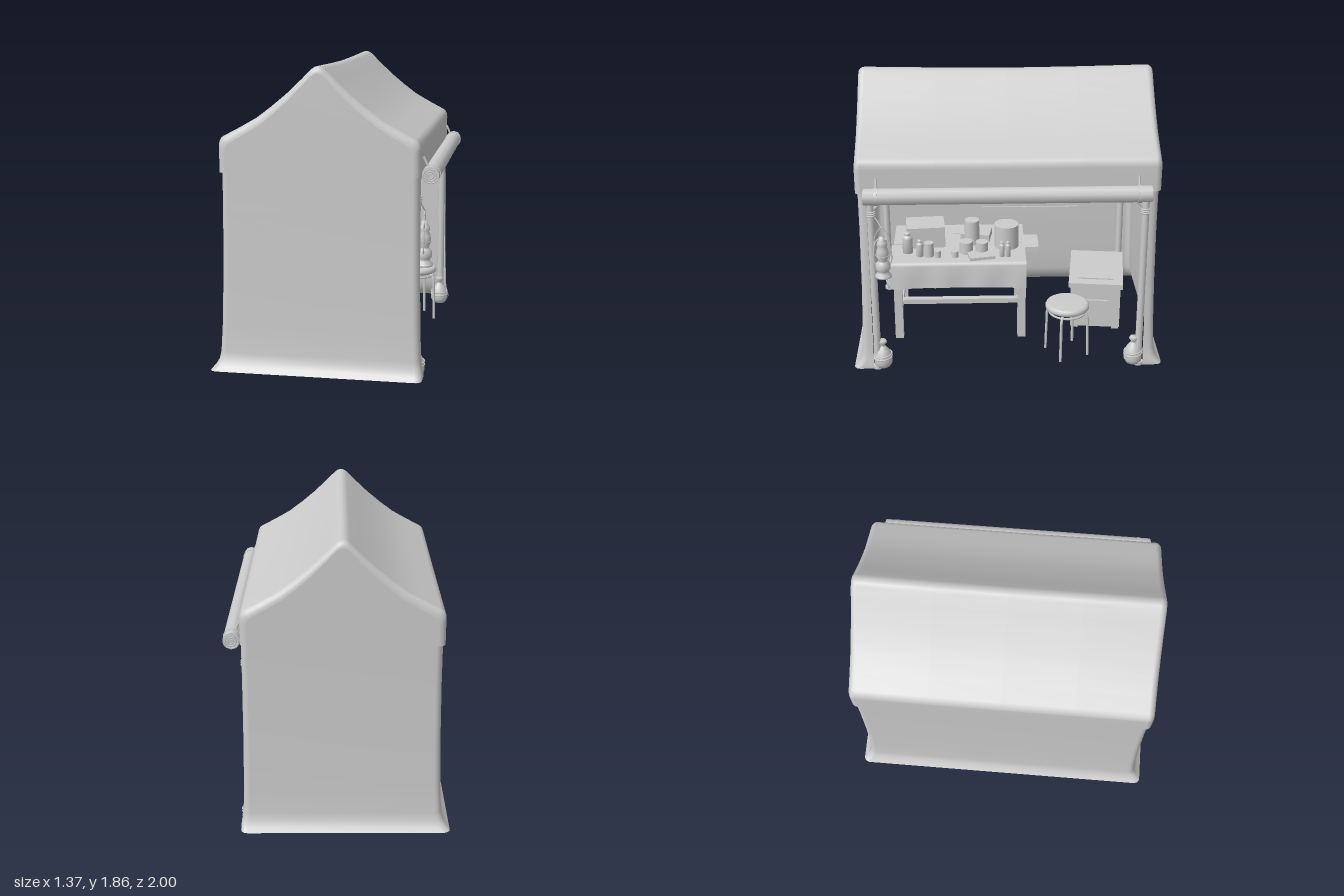
import * as THREE from 'three';

const grey = new THREE.MeshStandardMaterial({ color: 0xcccccc });
const cloth = new THREE.MeshStandardMaterial({ color: 0xcccccc, side: THREE.DoubleSide });
const V = (x, y, z) => new THREE.Vector3(x, y, z);

function add(parent, name, geo, pos = [0, 0, 0], mat = grey) {
  const m = new THREE.Mesh(geo, mat);
  m.name = name;
  m.position.set(...pos);
  parent.add(m);
  return m;
}
const box = (p, name, x, y, z, w, h, d) => add(p, name, new THREE.BoxGeometry(w, h, d), [x, y, z]);
const cyl = (p, name, x, y0, z, r, h, seg = 16, rTop = r) =>
  add(p, name, new THREE.CylinderGeometry(rTop, r, h, seg), [x, y0 + h / 2, z]);
const lathe = (p, name, pts, pos, seg = 18) =>
  add(p, name, new THREE.LatheGeometry(pts.map(a => new THREE.Vector2(...a)), seg), pos, cloth);
const tube = (p, name, pts, r, n = 24) =>
  add(p, name, new THREE.TubeGeometry(new THREE.CatmullRomCurve3(pts), n, r, 6), [0, 0, 0]);

// Straight round pole between two points
function pole(p, name, a, b, r, seg = 10) {
  const d = b.clone().sub(a);
  const m = add(p, name, new THREE.CylinderGeometry(r, r, d.length(), seg));
  m.position.copy(a).addScaledVector(d, 0.5);
  m.quaternion.setFromUnitVectors(V(0, 1, 0), d.normalize());
  return m;
}

// Skin through rows of points of equal length
function loft(rows) {
  const n = rows[0].length, idx = [];
  for (let i = 0; i < rows.length - 1; i++)
    for (let j = 0; j < n - 1; j++) {
      const a = i * n + j, b = a + n;
      idx.push(a, b, a + 1, b, b + 1, a + 1);
    }
  const g = new THREE.BufferGeometry().setFromPoints(rows.flat());
  g.setIndex(idx);
  g.computeVertexNormals();
  return g;
}

function buildRoof(g) {
  const half = [[0.6, 1.23], [0.6, 1.39], [0.597, 1.415], [0.585, 1.437], [0.565, 1.45], [0.47, 1.5], [0.37, 1.557],
    [0.28, 1.625], [0.19, 1.7], [0.1, 1.785], [0.04, 1.845], [0.02, 1.858]];
  const profile = [...half, [0, 1.863], ...half.slice().reverse().map(([x, y]) => [-x, y])];
  const section = (inset, sag) => profile.map(([x, y]) => [
    -0.018 + x * (1 - inset / 0.6), y > 1.25 ? y - inset - sag * (y - 1.23) / 0.63 : y]);
  const R = 0.04, stations = [];
  for (let i = 0; i <= 5; i++) {
    const a = i / 5 * Math.PI / 2;
    stations.push([0.94 - R * (1 - Math.cos(a)), R * (1 - Math.sin(a)), 0]);
  }
  stations.push([0.45, 0, 0.009], [0, 0, 0.014]);
  const all = [...stations, ...stations.slice(0, -1).reverse().map(([z, i, s]) => [-z, i, s])];
  add(g, 'roofCanvas', loft(all.map(([z, i, s]) => section(i, s).map(([x, y]) => V(x, y, z)))), [0, 0, 0], cloth);
  const gable = new THREE.ShapeGeometry(new THREE.Shape(section(R, 0).map(a => new THREE.Vector2(...a))));
  for (const s of [1, -1]) add(g, 'roofGable', gable, [0, 0, s * 0.94], cloth);
}

function buildWalls(g) {
  // Height and outward flare; the right side stays open
  const flare = [[1.25, 0], [1, 0], [0.6, 0.005], [0.3, 0.013], [0.13, 0.022], [0.08, 0.032], [0.045, 0.052], [0.02, 0.075]];
  const rows = flare.map(([y, o]) => {
    const x0 = -0.605 - o, x1 = 0.578 + Math.min(o * 0.7, 0.03), z = 0.925 + o, r = 0.04, pts = [];
    const arc = (cx, cz, a0) => {
      for (let i = 0; i <= 5; i++) {
        const a = a0 + i / 5 * Math.PI / 2;
        pts.push(V(cx + r * Math.cos(a), y, cz + r * Math.sin(a)));
      }
    };
    pts.push(V(x1, y, 0.872));
    arc(x1 - r, z - r, 0);
    arc(x0 + r, z - r, Math.PI / 2);
    arc(x0 + r, -z + r, Math.PI);
    arc(x1 - r, -z + r, Math.PI * 1.5);
    pts.push(V(x1, y, -0.872));
    return pts;
  });
  add(g, 'wallCanvas', loft(rows), [0, 0, 0], cloth);
}

function buildFrame(g) {
  for (const z of [0.85, -0.85]) {
    for (const x of [0.555, -0.57]) {
      cyl(g, 'post', x, 0, z, 0.023, 1.24, 12);
      cyl(g, 'postFoot', x, 0, z, 0.034, 0.02, 12);
      for (let i = 0; i < 3; i++)
        add(g, 'postLashing', new THREE.TorusGeometry(0.026, 0.006, 6, 14).rotateX(Math.PI / 2), [x, 1.08 + i * 0.013, z]);
      pole(g, 'cornerBrace', V(x, 1.1, z), V(x, 1.22, z * 0.87), 0.011, 8);
      pole(g, 'rafter', V(-0.018, 1.62, z), V(x, 1.23, z), 0.02);
      // Sandbag tied to the foot of the post
      const bag = lathe(g, 'sandbag', [[0, 0.01], [0.045, 0.012], [0.06, 0.04], [0.058, 0.08], [0.042, 0.125],
        [0.018, 0.155], [0.015, 0.165], [0.03, 0.185], [0.022, 0.2], [0, 0.198]], [x * 0.99, 0, z * 0.96]);
      for (const y of [0.075, 0.095])
        add(bag, 'bagRope', new THREE.TorusGeometry(0.058, 0.005, 6, 18).rotateX(Math.PI / 2 + 0.12), [0, y, 0]);
    }
    pole(g, 'crossBeam', V(-0.57, 1.21, z), V(0.555, 1.21, z), 0.02);
    pole(g, 'kingPost', V(-0.018, 1.2, z), V(-0.018, 1.8, z), 0.02);
    add(g, 'kingPostLashing', new THREE.TorusGeometry(0.024, 0.01, 6, 14).rotateY(Math.PI / 2), [-0.018, 1.21, z]);
  }
  for (const [x, y] of [[0.555, 1.215], [-0.57, 1.215], [-0.018, 1.8]])
    pole(g, 'lengthBeam', V(x, y, -0.88), V(x, y, 0.88), 0.022);
}

function buildRolledFlap(g) {
  const roll = new THREE.Group();
  roll.name = 'rolledFlap';
  roll.position.set(0.635, 1.237, 0.005);
  g.add(roll);
  add(roll, 'flapRoll', new THREE.CylinderGeometry(0.052, 0.052, 1.75, 10).rotateX(Math.PI / 2));
  for (const s of [1, -1]) {
    const spiral = [];
    for (let i = 0; i <= 36; i++) {
      const a = i / 36 * Math.PI * 6, r = 0.006 + 0.042 * i / 36;
      spiral.push(V(r * Math.cos(a), r * Math.sin(a), s * 0.876));
    }
    tube(roll, 'rollSpiral', spiral, 0.004, 90);
    add(roll, 'rollStrap', new THREE.CylinderGeometry(0.055, 0.055, 0.022, 14).rotateX(Math.PI / 2), [0, 0, s * 0.8]);
    pole(roll, 'strapTie', V(-0.02, 0.04, s * 0.8), V(-0.047, 0.1, s * 0.8), 0.008, 6);
  }
}

function buildLantern(g) {
  const l = new THREE.Group();
  l.name = 'lantern';
  l.position.set(0.595, 0.68, 0.785);
  g.add(l);
  lathe(l, 'lanternBody', [[0, 0], [0.052, 0], [0.052, 0.01], [0.036, 0.03], [0.036, 0.045], [0.046, 0.055], [0.046, 0.09],
    [0.03, 0.105], [0.028, 0.115], [0.04, 0.15], [0.036, 0.185], [0.026, 0.21], [0.034, 0.215], [0.03, 0.24],
    [0.02, 0.25], [0.018, 0.27], [0, 0.275]], [0, 0, 0]);
  for (const s of [1, -1])
    tube(l, 'lanternSideTube', [V(0, 0.08, s * 0.042), V(0, 0.11, s * 0.054), V(0, 0.2, s * 0.05), V(0, 0.25, s * 0.03), V(0, 0.26, 0)], 0.005);
  tube(l, 'lanternHandle', [V(0, 0.21, -0.05), V(0, 0.28, -0.04), V(0, 0.335, 0), V(0, 0.28, 0.04), V(0, 0.21, 0.05)], 0.003);
  add(l, 'lanternGuard', new THREE.TorusGeometry(0.042, 0.003, 5, 18).rotateX(Math.PI / 2), [0, 0.15, 0]);
  tube(l, 'lanternRope', [V(0, 0.335, 0), V(-0.02, 0.38, 0.03), V(-0.035, 0.41, 0.065)], 0.004, 10);
}

function buildTable(g) {
  const t = new THREE.Group();
  t.name = 'table';
  g.add(t);
  for (let i = 0; i < 4; i++) box(t, 'tablePlank', -0.34 + i * 0.16, 0.565, 0.32, 0.155, 0.025, 0.9);
  for (const z of [0.73, -0.1]) {
    for (const x of [0.185, -0.38]) box(t, 'tableLeg', x, 0.285, z, 0.05, 0.54, 0.055);
    for (const y of [0.13, 0.52]) box(t, 'endRail', -0.1, y, z, 0.56, 0.045, 0.025);
  }
  for (const y of [0.28, 0.52]) box(t, 'backRail', -0.38, y, 0.315, 0.025, 0.06, 0.83);
  box(t, 'middleRail', -0.1, 0.14, 0.315, 0.045, 0.035, 0.83);
  box(t, 'sideBoard', -0.12, 0.565, -0.17, 0.2, 0.035, 0.11);
  // Cloth over the top, hanging down along the open side with a wavy hem
  const rows = [];
  for (let i = 0; i <= 24; i++) {
    const z = 0.78 - i / 24 * 0.91, w = Math.sin(i * 0.9) * 0.004, hem = 0.4 + 0.008 * Math.sin(i / 24 * Math.PI) + w * 0.6;
    rows.push([V(-0.08, 0.583, z), V(0.2, 0.583, z), V(0.218, 0.578, z), V(0.225, 0.56, z), V(0.23 + w, 0.48, z), V(0.234 + w * 2, hem, z)]);
  }
  add(t, 'tablecloth', loft(rows), [0, 0, 0], cloth);

  // Things on the table
  const y = 0.58;
  const tray = box(t, 'woodenBox', -0.12, y + 0.075, 0.55, 0.2, 0.15, 0.26);
  tray.rotation.y = 0.08;
  const bottle = (x, z, r, h) => lathe(t, 'bottle', [[0, 0], [r, 0], [r, h * 0.72], [r * 0.85, h * 0.8],
    [r * 0.5, h * 0.84], [r * 0.5, h * 0.9], [r * 0.62, h * 0.9], [r * 0.62, h], [0, h]], [x, y, z], 14);
  for (const [x, z, r, h] of [[0.04, 0.665, 0.034, 0.15], [0.1, 0.58, 0.024, 0.12], [0.12, 0.03, 0.018, 0.11], [0.12, -0.01, 0.018, 0.11]])
    bottle(x, z, r, h);
  for (const [x, z, r, h] of [[0.1, 0.52, 0.033, 0.1], [0.12, 0.46, 0.022, 0.05], [0.05, 0.27, 0.045, 0.085],
    [0.06, 0.165, 0.042, 0.085], [0.12, 0.345, 0.022, 0.045], [-0.1, 0.23, 0.05, 0.175], [-0.05, -0.005, 0.083, 0.165]])
    cyl(t, 'can', x, y, z, r, h, 18);
  box(t, 'papers', 0.12, y + 0.012, 0.17, 0.12, 0.022, 0.17).rotation.y = 0.2;
  box(t, 'book', -0.2, y + 0.025, 0.2, 0.15, 0.05, 0.2).rotation.y = -0.15;
}

function buildStool(g) {
  const s = new THREE.Group();
  s.name = 'stool';
  s.position.set(0.42, 0, -0.39);
  g.add(s);
  lathe(s, 'stoolSeat', [[0, 0.345], [0.13, 0.345], [0.142, 0.353], [0.144, 0.37], [0.136, 0.384], [0.12, 0.389], [0, 0.39]], [0, 0, 0], 28);
  for (let i = 0; i < 4; i++) {
    const a = 0.35 + i * Math.PI / 2, c = Math.cos(a), n = Math.sin(a);
    tube(s, 'stoolLeg', [V(c * 0.145, 0.02, n * 0.145), V(c * 0.14, 0.2, n * 0.14), V(c * 0.132, 0.315, n * 0.132),
      V(c * 0.1, 0.338, n * 0.1), V(0, 0.338, 0)], 0.009);
  }
  add(s, 'stoolRing', new THREE.TorusGeometry(0.12, 0.007, 6, 28).rotateX(Math.PI / 2), [0, 0.325, 0]);
}

function buildChest(g) {
  const c = new THREE.Group();
  c.name = 'chest';
  c.position.set(-0.14, 0, -0.64);
  c.rotation.y = -0.12;
  g.add(c);
  box(c, 'chestBody', 0, 0.18, 0, 0.5, 0.3, 0.34);
  box(c, 'chestLid', 0, 0.345, 0, 0.53, 0.035, 0.37);
  box(c, 'lidPanel', 0, 0.365, 0, 0.38, 0.012, 0.24);
  box(c, 'chestHandle', 0.255, 0.22, 0, 0.02, 0.035, 0.17);
  for (const x of [0.22, -0.22]) for (const z of [0.14, -0.14]) box(c, 'chestFoot', x, 0.025, z, 0.05, 0.02, 0.05);
}

function buildBoard(g) {
  const b = new THREE.Group();
  b.name = 'noticeBoard';
  b.position.set(-0.53, 0.86, -0.19);
  g.add(b);
  box(b, 'boardPanel', 0, 0, 0, 0.016, 0.4, 0.71);
  for (const s of [1, -1]) {
    box(b, 'boardFrame', 0.004, s * 0.2, 0, 0.028, 0.022, 0.74);
    box(b, 'boardFrame', 0.004, 0, s * 0.358, 0.028, 0.42, 0.022);
    pole(b, 'boardRope', V(0, 0.22, s * 0.28), V(-0.03, 0.34, s * 0.17), 0.006, 6);
    add(b, 'ropeKnot', new THREE.SphereGeometry(0.013, 10, 8), [0, 0.225, s * 0.28]);
  }
  for (const [y, z, h, d] of [[-0.05, 0.2, 0.16, 0.12], [0.08, -0.18, 0.1, 0.13], [0.02, -0.28, 0.08, 0.08]])
    box(b, 'pinnedNote', 0.01, y, z, 0.004, h, d);
}

export function createModel() {
  const tent = new THREE.Group();
  tent.name = 'marketTent';
  for (const build of [buildRoof, buildWalls, buildFrame, buildRolledFlap, buildLantern, buildTable, buildStool, buildChest, buildBoard])
    build(tent);
  return tent;
}
